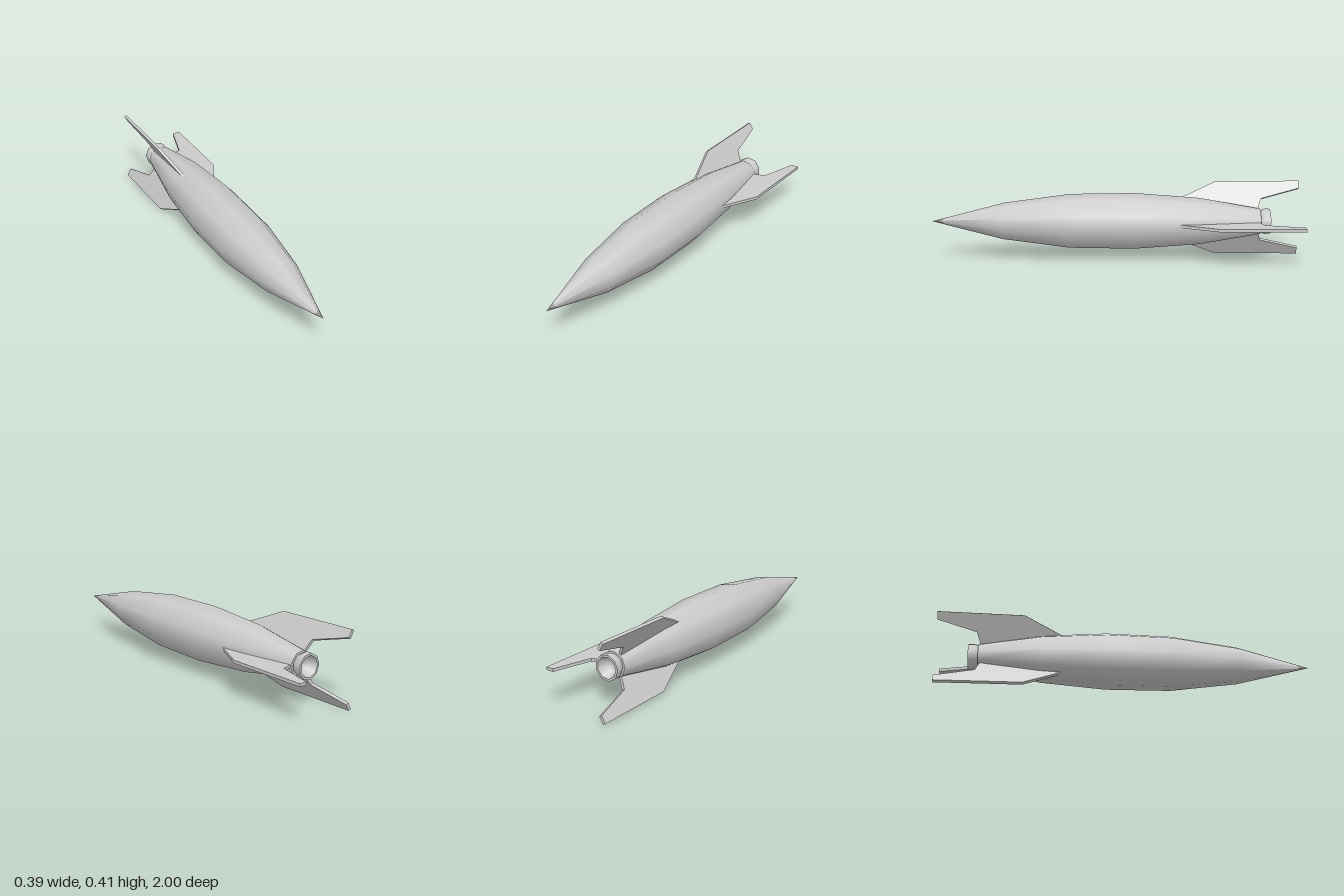
import * as THREE from 'three';

const SIDES = 9;
const FIN_THICKNESS = 0.016;

export function createModel() {
  const group = new THREE.Group();
  const material = new THREE.MeshStandardMaterial({ color: 0xcccccc });

  // The rocket lies along z; everything is built round its long axis.
  const rocket = new THREE.Group();
  rocket.name = 'rocket';
  rocket.position.set(-0.04, 0.209, 0);
  group.add(rocket);

  // Nine-sided turned part from [radius, z] pairs, listed from tail to nose.
  function turned(name, profile) {
    const points = profile.map(([r, z]) => new THREE.Vector2(r, z));
    const geometry = new THREE.LatheGeometry(points, SIDES, -Math.PI / 2);
    geometry.rotateX(Math.PI / 2);
    const mesh = new THREE.Mesh(geometry, material);
    mesh.name = name;
    rocket.add(mesh);
  }

  // Hull
  turned('hull', [
    [0.07, -0.78], [0.128, -0.45], [0.154, -0.1],
    [0.149, 0.25], [0.101, 0.61], [0, 1],
  ]);
  turned('tailPlate', [[0, -0.78], [0.07, -0.78]]);

  // Exhaust nozzle: flared outside, thin rim and a tapered bore
  turned('nozzleShell', [[0.069, -0.833], [0.07, -0.8], [0.056, -0.775]]);
  turned('nozzleRim', [[0.057, -0.833], [0.069, -0.833]]);
  turned('nozzleBore', [[0, -0.781], [0.035, -0.783], [0.057, -0.833]]);

  // Swept fins, outlined as [radius, z]
  const outline = [
    [0.05, -0.36], [0.128, -0.34], [0.228, -0.54], [0.233, -1],
    [0.19, -1], [0.13, -0.79], [0.05, -0.765],
  ];
  const shape = new THREE.Shape(outline.map(([r, z]) => new THREE.Vector2(r, z)));
  const finGeometry = new THREE.ExtrudeGeometry(shape, {
    depth: FIN_THICKNESS, bevelEnabled: false,
  });
  finGeometry.translate(0, 0, -FIN_THICKNESS / 2);
  finGeometry.rotateX(Math.PI / 2);

  ['leftFin', 'upperRightFin', 'lowerRightFin'].forEach((name, i) => {
    const fin = new THREE.Mesh(finGeometry, material);
    fin.name = name;
    fin.rotation.z = (i * Math.PI * 2) / 3;
    rocket.add(fin);
  });

  return group;
}
